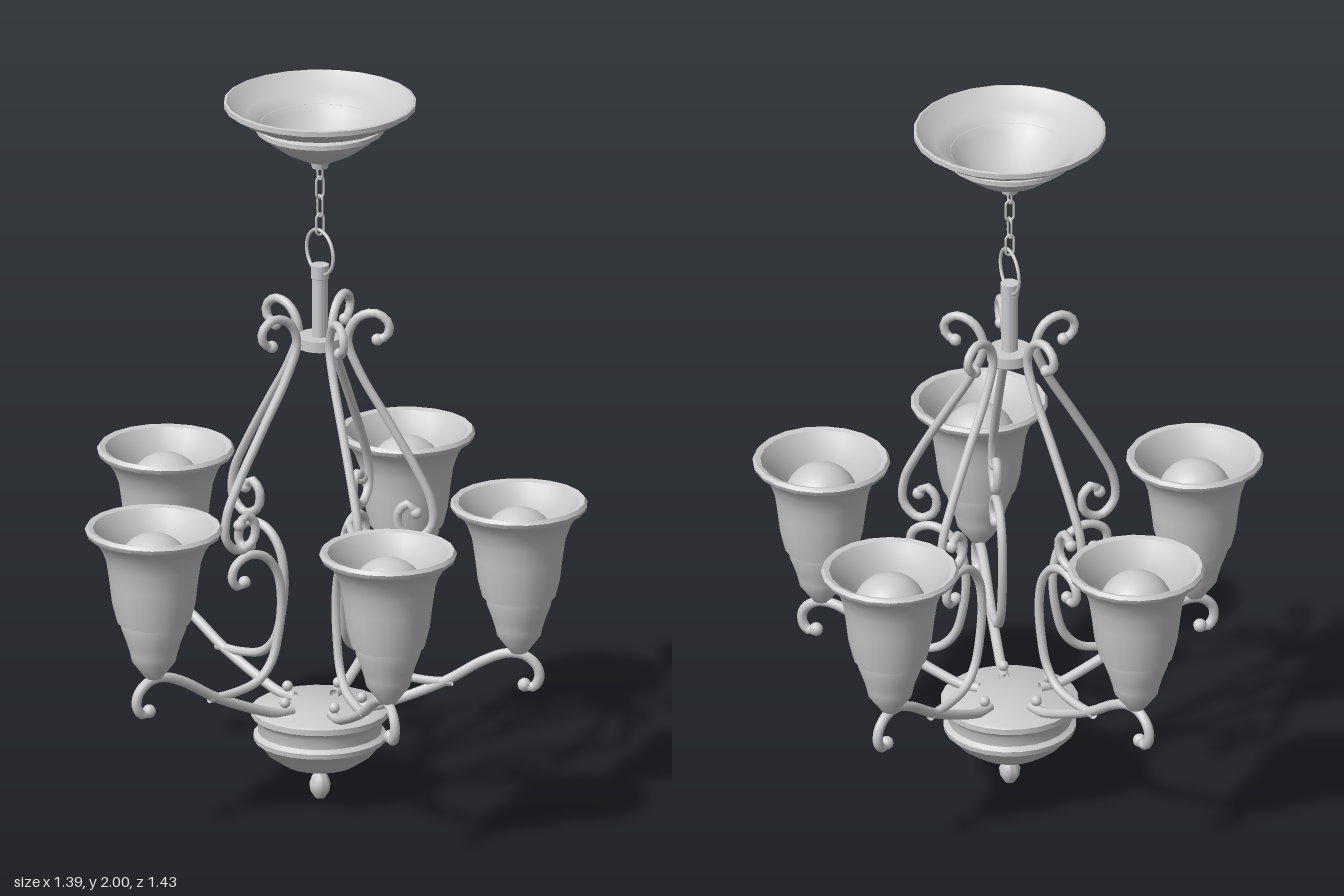
import * as THREE from 'three';
import { toCreasedNormals } from 'three/addons/utils/BufferGeometryUtils.js';

const metal = new THREE.MeshStandardMaterial({ color: 0xcccccc });
const thin = new THREE.MeshStandardMaterial({ color: 0xcccccc, side: THREE.DoubleSide });

function add(parent, name, geometry, y = 0, material = metal) {
  const mesh = new THREE.Mesh(geometry, material);
  mesh.name = name;
  mesh.position.y = y;
  parent.add(mesh);
  return mesh;
}

// Turned part from [radius, height] pairs listed bottom to top
function turned(profile, sides) {
  const points = profile.map(([r, y]) => new THREE.Vector2(r, y));
  return toCreasedNormals(new THREE.LatheGeometry(points, sides), 0.7);
}

// Wrought bar following [radius, height] points in the radial plane, with chosen end balls
function bar(parent, name, pts, radius, ballStart, ballEnd) {
  const curve = new THREE.CatmullRomCurve3(pts.map(([r, y]) => new THREE.Vector3(r, y, 0)));
  add(parent, name, new THREE.TubeGeometry(curve, 56, radius, 8), 0, thin);
  const ends = [];
  if (ballStart) ends.push(pts[0]);
  if (ballEnd) ends.push(pts[pts.length - 1]);
  for (const [r, y] of ends) {
    add(parent, name + 'Tip', new THREE.SphereGeometry(radius * 1.35, 10, 8), y).position.x = r;
  }
}

// Oval chain link standing upright
function link() {
  const pts = [];
  for (let i = 0; i < 16; i++) {
    const a = (i / 16) * Math.PI * 2;
    const s = Math.sin(a);
    pts.push(new THREE.Vector3(Math.cos(a) * 0.012, s * 0.012 + Math.sign(Math.round(s * 100)) * 0.018, 0));
  }
  return new THREE.TubeGeometry(new THREE.CatmullRomCurve3(pts, true), 32, 0.0035, 6, true);
}

function createArm() {
  const arm = new THREE.Group();
  arm.name = 'arm';

  // Lower arm that carries the shade and ends in a drooping scroll
  bar(arm, 'lowerArm', [[0.09, 0.272], [0.14, 0.274], [0.21, 0.298], [0.345, 0.36], [0.45, 0.425],
    [0.515, 0.45], [0.565, 0.445], [0.598, 0.415], [0.602, 0.38], [0.585, 0.357], [0.562, 0.362]], 0.014, false, true);

  // C-shaped scroll above the lower arm
  bar(arm, 'middleScroll', [[0.365, 0.358], [0.28, 0.36], [0.205, 0.378], [0.16, 0.425], [0.137, 0.5],
    [0.127, 0.6], [0.142, 0.68], [0.182, 0.73], [0.235, 0.743], [0.28, 0.718], [0.288, 0.68],
    [0.268, 0.66], [0.248, 0.67]], 0.0125, false, true);

  // Long upper bar with a scroll at each end
  bar(arm, 'upperBar', [[0.158, 1.325], [0.184, 1.337], [0.19, 1.372], [0.155, 1.4], [0.105, 1.385], [0.076, 1.325],
    [0.106, 1.236], [0.185, 1.1], [0.265, 0.96], [0.306, 0.87], [0.308, 0.8], [0.265, 0.762],
    [0.22, 0.785], [0.215, 0.835], [0.245, 0.86], [0.265, 0.835]], 0.0125, true, true);

  // Screw knob on the body
  add(arm, 'knob', new THREE.SphereGeometry(0.015, 10, 8), 0.298).position.x = 0.115;
  add(arm, 'knobStem', new THREE.CylinderGeometry(0.006, 0.006, 0.04, 8), 0.28).position.x = 0.115;

  // Bell shade, outer wall up and inner wall back down
  const lamp = new THREE.Group();
  lamp.name = 'lamp';
  lamp.position.x = 0.547;
  arm.add(lamp);
  add(lamp, 'shade', turned([
    [0, 0.455], [0.022, 0.455], [0.06, 0.505], [0.064, 0.525], [0.073, 0.555], [0.088, 0.595], [0.09, 0.615],
    [0.1, 0.618], [0.113, 0.67], [0.12, 0.73], [0.128, 0.785], [0.142, 0.825], [0.162, 0.855],
    [0.183, 0.868], [0.187, 0.88], [0.18, 0.89], [0.165, 0.885], [0.15, 0.86], [0.13, 0.82],
    [0.117, 0.77], [0.108, 0.7], [0.094, 0.63], [0, 0.625]], 20), 0, thin);
  add(lamp, 'bulb', new THREE.SphereGeometry(0.102, 24, 16), 0.765);
  return arm;
}

export function createModel() {
  const model = new THREE.Group();
  model.name = 'chandelier';
  const fixture = new THREE.Group();
  fixture.name = 'fixture';
  fixture.position.x = 0.035;
  model.add(fixture);

  // Ceiling canopy, an open stepped dish
  add(fixture, 'canopy', turned([
    [0.012, 1.805], [0.022, 1.808], [0.026, 1.825], [0.045, 1.832], [0.1, 1.86], [0.145, 1.893], [0.16, 1.912],
    [0.174, 1.915], [0.174, 1.928], [0.16, 1.934], [0.195, 1.945], [0.23, 1.963], [0.25, 1.98],
    [0.261, 1.984], [0.261, 1.998], [0.254, 2], [0.235, 1.982], [0.2, 1.958],
    [0.168, 1.944], [0.15, 1.917], [0.1, 1.876], [0.045, 1.845], [0.03, 1.842]], 24), 0, thin);
  add(fixture, 'canopyNut', new THREE.CylinderGeometry(0.032, 0.032, 0.012, 16), 1.842);

  // Chain links turned alternately, and the hanging ring
  [1.645, 1.698, 1.751, 1.804].forEach((y, i) => {
    add(fixture, 'chainLink', link(), y).rotation.y = i % 2 ? Math.PI / 2 : 0;
  });
  add(fixture, 'hangingRing', new THREE.TorusGeometry(0.063, 0.005, 8, 32), 1.565).rotation.y = Math.PI / 2;

  // Stem and top hub
  add(fixture, 'stem', turned([[0, 1.3], [0.022, 1.3], [0.022, 1.49], [0.025, 1.492], [0.025, 1.53], [0, 1.53]], 16));
  add(fixture, 'topHub', new THREE.CylinderGeometry(0.062, 0.062, 0.03, 20), 1.312);

  // Lower body with bowl and finial
  add(fixture, 'body', turned([
    [0, 0.002], [0.014, 0.006], [0.026, 0.025], [0.029, 0.045], [0.022, 0.066], [0.014, 0.078], [0.016, 0.086],
    [0.05, 0.09], [0.1, 0.107], [0.145, 0.138], [0.168, 0.17], [0.179, 0.174], [0.181, 0.188], [0.168, 0.198],
    [0.17, 0.225], [0.178, 0.24], [0.187, 0.244], [0.187, 0.26], [0.18, 0.265], [0, 0.265]], 24));

  // Five arms, with a narrower gap between two of them
  for (const degrees of [45, 105, 180, 255, 330]) {
    const arm = createArm();
    arm.rotation.y = -THREE.MathUtils.degToRad(degrees);
    fixture.add(arm);
  }
  return model;
}
